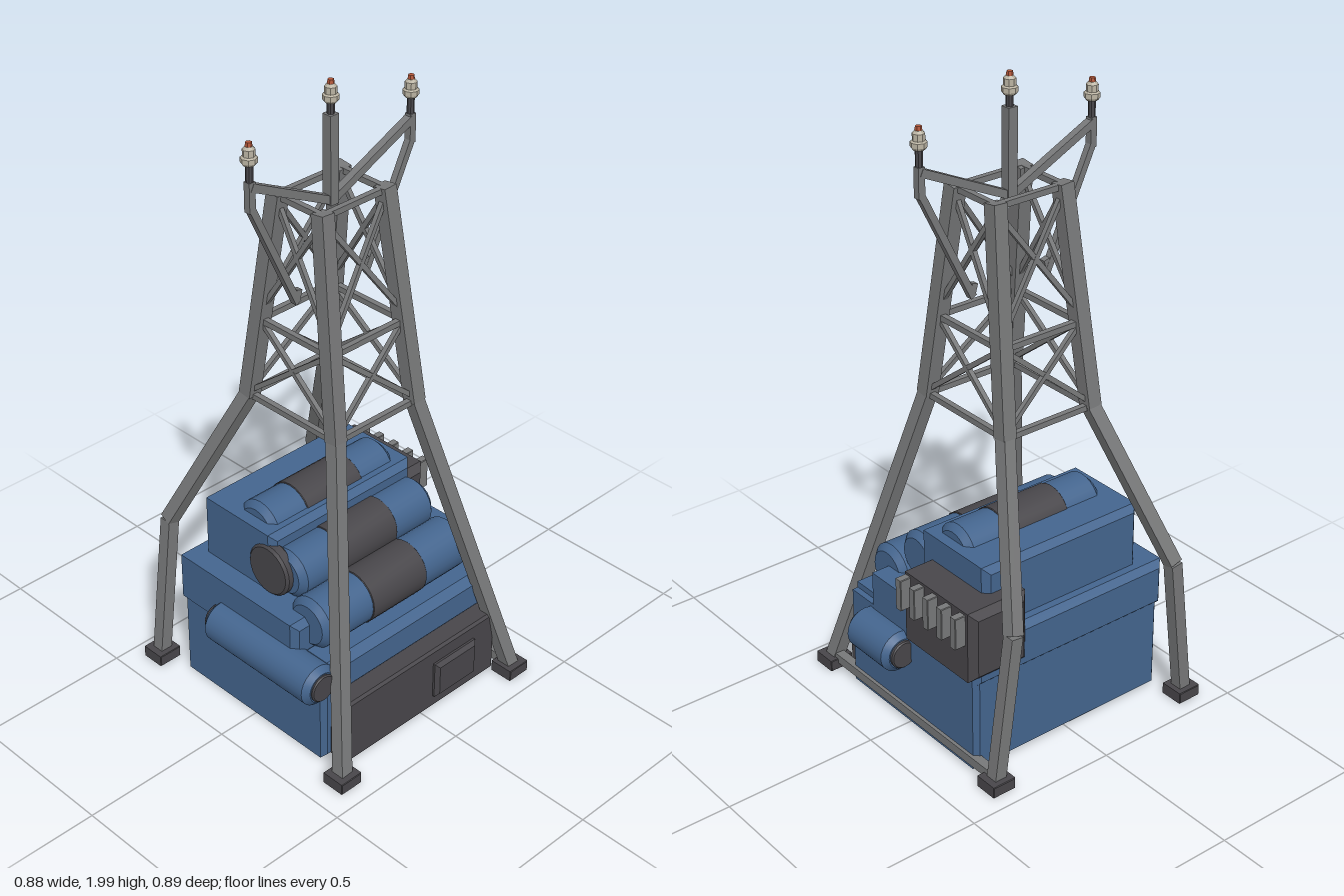
import * as THREE from 'three';
import { toCreasedNormals } from 'three/addons/utils/BufferGeometryUtils.js';

const mat = (name, color) => {
  const m = new THREE.MeshStandardMaterial({ color });
  m.name = name;
  return m;
};

export function createModel() {
  const group = new THREE.Group();
  const blue = mat('bluePaint', 0x44658e);
  const dark = mat('darkMetal', 0x48464a);
  const steel = mat('steel', 0x777879);
  const porcelain = mat('porcelain', 0xbab3a2);
  const copper = mat('copper', 0xb4583a);

  const add = (name, geometry, material) => {
    const mesh = new THREE.Mesh(geometry, material);
    mesh.name = name;
    group.add(mesh);
    return mesh;
  };

  // Box with chamfered edges, given by its extents
  const block = (name, [x0, x1], [y0, y1], [z0, z1], b, material) => {
    const s = new THREE.Shape();
    s.moveTo(x0 + b, y0 + b);
    s.lineTo(x1 - b, y0 + b);
    s.lineTo(x1 - b, y1 - b);
    s.lineTo(x0 + b, y1 - b);
    s.closePath();
    const g = new THREE.ExtrudeGeometry(s, {
      depth: z1 - z0 - 2 * b, bevelEnabled: true, bevelSize: b, bevelThickness: b, bevelSegments: 1,
    });
    g.translate(0, 0, z0 + b);
    return add(name, g, material);
  };

  // Square bar between two points
  const bar = (name, a, b, w, material = steel) => {
    const p = new THREE.Vector3(...a), q = new THREE.Vector3(...b);
    const d = q.clone().sub(p);
    const mesh = add(name, new THREE.BoxGeometry(w, w, d.length()), material);
    mesh.position.copy(p).add(q).multiplyScalar(0.5);
    if (Math.abs(d.z) < Math.abs(d.x) + Math.abs(d.y)) mesh.up.set(0, 0, 1);
    mesh.lookAt(q);
    return mesh;
  };

  // Drum with chamfered ends along x or z
  const drum = (name, axis, from, to, [u, y], r, b, material) => {
    const h = to - from;
    const g = new THREE.LatheGeometry([
      new THREE.Vector2(0, 0), new THREE.Vector2(r - b, 0), new THREE.Vector2(r, b),
      new THREE.Vector2(r, h - b), new THREE.Vector2(r - b, h), new THREE.Vector2(0, h),
    ], 24);
    if (axis === 'x') g.rotateZ(-Math.PI / 2).translate(from, y, u);
    else g.rotateX(Math.PI / 2).translate(u, y, from);
    return add(name, toCreasedNormals(g, 0.6), material);
  };

  // Stepped housing
  block('lowerHousing', [-0.36, 0.35], [0.01, 0.34], [-0.32, 0.3], 0.015, blue);
  block('middleHousing', [-0.375, 0.352], [0.3, 0.455], [-0.325, 0.195], 0.02, blue);
  block('upperHousing', [-0.305, 0.28], [0.43, 0.655], [-0.28, 0.03], 0.02, blue);
  block('frontLedge', [-0.335, 0.33], [0.23, 0.36], [0.18, 0.312], 0.025, blue);
  block('frontPanel', [-0.33, 0.31], [0.02, 0.24], [0.27, 0.367], 0.008, dark);
  block('frontHatch', [0.035, 0.212], [0.065, 0.19], [0.355, 0.386], 0.012, dark);

  // Three stacked drums with dark bands
  for (const [from, to, z, y, r] of [
    [-0.315, 0.29, 0.185, 0.432, 0.084],
    [-0.288, 0.27, 0.063, 0.533, 0.08],
    [-0.265, 0.246, -0.085, 0.615, 0.084],
  ]) {
    drum('stackDrum', 'x', from, to, [z, y], r, 0.02, blue);
    drum('drumBand', 'x', -0.126, 0.1, [z, y], r + 0.003, 0.002, dark);
  }
  drum('sideDisc', 'x', -0.312, -0.27, [0.015, 0.535], 0.085, 0.008, dark);

  // Side tanks with dark end caps
  drum('longTank', 'z', -0.145, 0.31, [-0.375, 0.305], 0.067, 0.018, blue);
  drum('longTankCore', 'z', -0.157, 0.318, [-0.375, 0.305], 0.045, 0.004, dark);
  drum('shortTank', 'z', 0.002, 0.207, [0.373, 0.265], 0.067, 0.018, blue);
  drum('shortTankCore', 'z', -0.01, 0.216, [0.373, 0.265], 0.045, 0.004, dark);

  // Cooler box and fins
  block('coolerBox', [0.17, 0.38], [0.34, 0.573], [-0.345, -0.008], 0.022, dark);
  for (let i = 0; i < 5; i++) {
    const z = -0.3 + i * 0.064;
    block('coolerFin', [0.36, 0.416], [0.462, 0.565], [z - 0.013, z + 0.013], 0.002, steel);
  }

  // Tower legs; corner positions by height, s = x side, f = front (1) or back (-1)
  const cx = -0.019;
  const corner = (s, f, y) => {
    const t = (y - 1) / 0.67;
    return [cx + s * (0.159 - 0.04 * t), y, -0.015 + f * (0.18 - 0.091 * t)];
  };
  for (const s of [-1, 1]) {
    for (const f of [-1, 1]) {
      const z = f > 0 ? 0.404 : -0.41;
      const fx = cx + s * 0.366;
      block('foot', [fx - 0.04, fx + 0.04], [0.008, 0.045], [z - 0.04, z + 0.04], 0.002, dark);
      const knee = corner(s, f, 1);
      if (f > 0) {
        bar('frontLeg', [fx, 0.03, z], knee, 0.042);
      } else {
        const elbow = [cx + s * 0.306, 0.51, -0.413];
        bar('backLegPost', [fx, 0.03, z], elbow, 0.04);
        bar('backLegBrace', elbow, knee, 0.042);
      }
      bar('upperLeg', knee, corner(s, f, 1.675), 0.046);
    }
  }
  bar('groundRail', [0.346, 0.045, -0.41], [0.346, 0.045, 0.404], 0.03);

  // Lattice rings and cross braces on all four sides
  const order = [[-1, 1], [1, 1], [1, -1], [-1, -1]];
  order.forEach((a, i) => {
    const b = order[(i + 1) % 4];
    for (const y of [1, 1.26, 1.665]) bar('ringBar', corner(...a, y), corner(...b, y), 0.018);
    for (const [lo, hi] of [[1.01, 1.26], [1.29, 1.65]]) {
      bar('crossBrace', corner(...a, lo), corner(...b, hi), 0.015);
      bar('crossBrace', corner(...b, lo), corner(...a, hi), 0.015);
    }
  });

  // Top arms, struts and masts
  const mz = -0.017;
  for (const x of [-0.317, 0.291]) {
    const s = Math.sign(x);
    bar('topArm', [cx, 1.64, mz], [x, 1.785, mz], 0.024);
    bar('armStrut', [cx + s * 0.135, 1.37, mz], [x, 1.72, mz], 0.021);
    bar('armPost', [x, 1.71, mz], [x, 1.8, mz], 0.022);
  }
  bar('strutTie', [cx - 0.14, 1.375, mz], [cx - 0.13, 1.41, mz], 0.02);
  bar('strutTie', [cx + 0.14, 1.375, mz], [cx + 0.13, 1.41, mz], 0.02);
  bar('centreMast', [cx, 1.63, mz], [cx, 1.9, mz], 0.032);

  // Insulators: dark stem, ribbed porcelain bell, copper tip
  const bell = [[0, 0], [0.018, 0], [0.024, 0.008], [0.024, 0.022], [0.018, 0.026],
    [0.018, 0.046], [0.011, 0.054], [0, 0.054]].map(p => new THREE.Vector2(...p));
  for (const [x, y] of [[-0.317, 1.85], [cx, 1.934], [0.291, 1.85]]) {
    add('insulatorStem', toCreasedNormals(new THREE.CylinderGeometry(0.011, 0.011, 0.085, 8), 0.5), dark)
      .position.set(x, y - 0.037, mz);
    add('insulatorBell', toCreasedNormals(new THREE.LatheGeometry(bell, 8), 0.5), porcelain)
      .position.set(x, y, mz);
    add('insulatorTip', toCreasedNormals(new THREE.CylinderGeometry(0.009, 0.011, 0.016, 6), 0.5), copper)
      .position.set(x, y + 0.058, mz);
  }
  return group;
}
